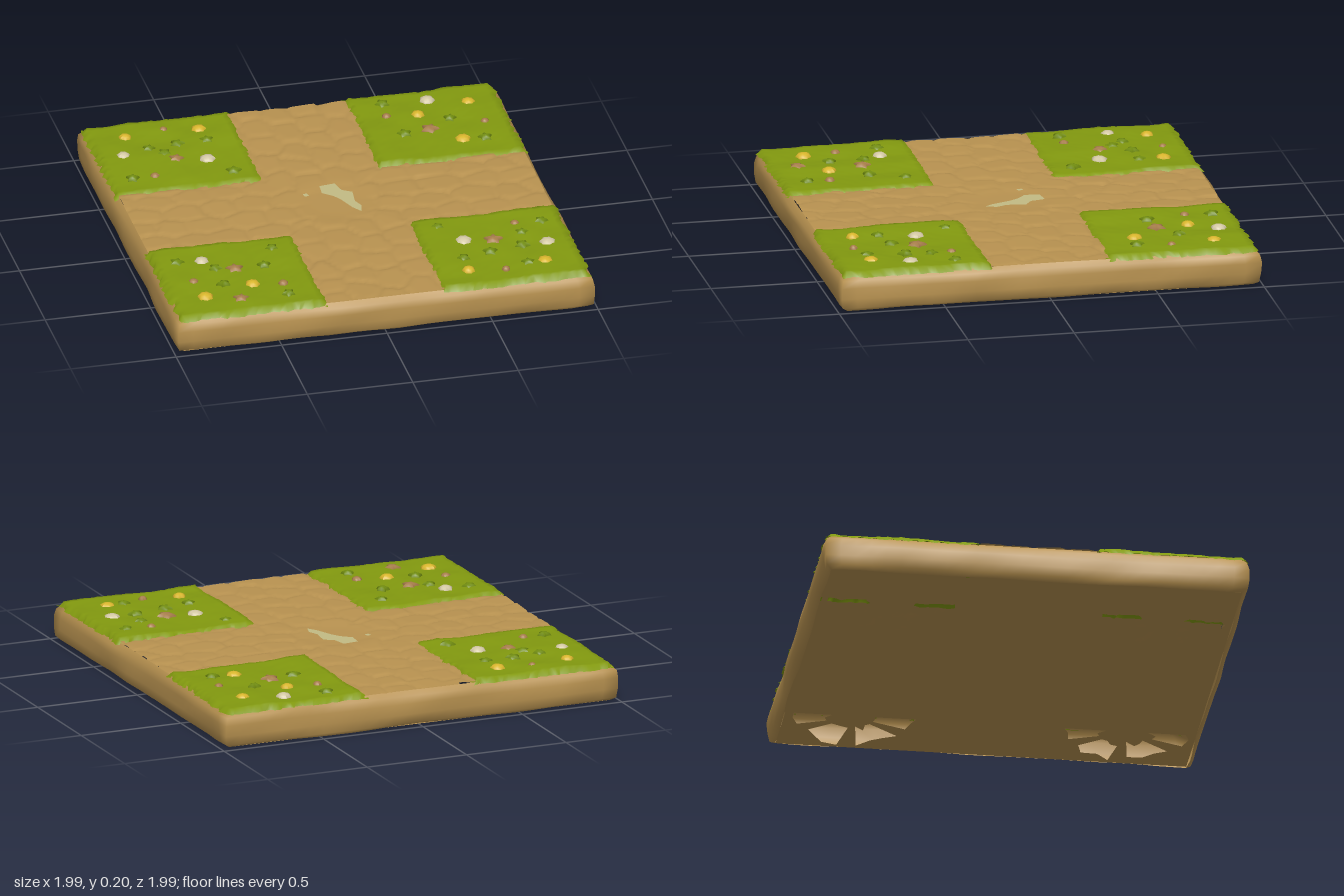
import * as THREE from 'three';

const HALF = 0.985;

// Repeatable pseudo-random value for an integer cell
function hash(i, j, k = 0) {
  const s = Math.sin(i * 127.1 + j * 311.7 + k * 74.7) * 43758.5453;
  return s - Math.floor(s);
}

// Smooth value noise, 0..1
function noise(x, z, k = 0) {
  const i = Math.floor(x), j = Math.floor(z), u = x - i, v = z - j;
  const a = hash(i, j, k) * (1 - u) + hash(i + 1, j, k) * u;
  const b = hash(i, j + 1, k) * (1 - u) + hash(i + 1, j + 1, k) * u;
  return a * (1 - v) + b * v;
}

// Height of the paving: irregular domed stones laid in staggered rows
function stoneHeight(x, z) {
  const across = Math.abs(x) > Math.abs(z);
  const p = (across ? x : z) / 0.18, q = (across ? z : x) / 0.135;
  let d1 = 9, d2 = 9, tilt = 0;
  for (let j = Math.floor(q) - 1; j <= Math.floor(q) + 1; j++) {
    for (let i = Math.floor(p) - 2; i <= Math.floor(p) + 1; i++) {
      const k = across ? 1 : 2;
      const dx = i + 0.5 + (j & 1) * 0.5 + (hash(i, j, k) - 0.5) * 0.5 - p;
      const dz = j + 0.5 + (hash(i, j, k + 5) - 0.5) * 0.4 - q;
      const d = Math.hypot(dx, dz);
      if (d < d1) {
        d2 = d1; d1 = d;
        tilt = dx * (hash(i, j, 9) - 0.5) + dz * (hash(i, j, 11) - 0.5);
      } else if (d < d2) d2 = d;
    }
  }
  const dome = Math.sqrt(Math.min(1, (d2 - d1) / 0.3));
  const calm = THREE.MathUtils.smoothstep(Math.hypot(x, z), 0.1, 0.24);
  return 0.175 + calm * (dome * 0.009 - 0.002 + tilt * 0.012);
}

// Grid in the xz plane whose vertices are moved by a rule
function sheet(w, d, n, rule) {
  const g = new THREE.PlaneGeometry(w, d, n, n).rotateX(-Math.PI / 2);
  const p = g.attributes.position;
  for (let i = 0; i < p.count; i++) p.setXYZ(i, ...rule(p.getX(i), p.getZ(i)));
  g.computeVertexNormals();
  return g;
}

// Wavy, rounded earth wall made of stacked square rings
function wallGeometry() {
  const profile = [[0.03, 0.006], [0.006, 0.025], [0, 0.07], [0, 0.12], [0.008, 0.155], [0.03, 0.176]];
  const perSide = 28, n = perSide * 4, pos = [], index = [];
  profile.forEach(([inset, y], r) => {
    for (let i = 0; i < n; i++) {
      const side = Math.floor(i / perSide), t = (i % perSide) / perSide * 2 - 1;
      const wob = (noise(i * 0.35, r * 0.7, 3) - 0.5) * (r === 5 ? 0.006 : 0.016);
      const h = HALF + 0.004 - inset + wob;
      const along = t * (HALF - inset);
      const [x, z] = [[along, h], [h, -along], [-along, -h], [-h, along]][side];
      pos.push(x, y + (r === 0 ? noise(i * 0.4, 0, 8) * 0.006 : 0), z);
    }
  });
  for (let r = 0; r < profile.length - 1; r++) {
    for (let i = 0; i < n; i++) {
      const a = r * n + i, b = r * n + (i + 1) % n;
      index.push(a, b, b + n, a, b + n, a + n);
    }
  }
  const g = new THREE.BufferGeometry();
  g.setAttribute('position', new THREE.Float32BufferAttribute(pos, 3));
  g.setIndex(index);
  g.computeVertexNormals();
  return g;
}

// Underside with ragged openings in each corner
function floorGeometry() {
  const e = HALF - 0.03;
  const shape = new THREE.Shape([[-e, -e], [e, -e], [e, e], [-e, e]].map(p => new THREE.Vector2(...p)));
  for (const sx of [-1, 1]) for (const sz of [-1, 1]) {
    for (let k = 0; k < 6; k++) {
      const a0 = k * Math.PI / 3 + 0.15, pts = [];
      for (let i = 0; i < 8; i++) {
        const outer = i < 4, t = outer ? i / 3 : (7 - i) / 3;
        const r = (outer ? 0.25 : 0.09) + hash(k * 8 + i, sx + sz * 3) * 0.06;
        const a = a0 + t * 0.75;
        pts.push(new THREE.Vector2(sx * 0.63 + r * Math.cos(a), sz * 0.63 + r * Math.sin(a)));
      }
      shape.holes.push(new THREE.Path(pts));
    }
  }
  return new THREE.ShapeGeometry(shape).rotateX(Math.PI / 2);
}

// Uneven turf with a ragged edge that drops into the ground
function turfGeometry(cx, cz) {
  const half = 0.353;
  return sheet(half * 2, half * 2, 32, (x, z) => {
    const rim = Math.max(Math.abs(x), Math.abs(z)) > half - 0.005;
    const gx = x + cx, gz = z + cz;
    const j = rim ? 0.022 : 0.008;
    const y = rim ? 0.168 : 0.182 + noise(gx * 8, gz * 8, 4) * 0.016 + hash(gx * 50, gz * 50) * 0.002;
    return [gx + (hash(gx * 40, gz * 40, 1) - 0.5) * j, y, gz + (hash(gx * 40, gz * 40, 2) - 0.5) * j];
  });
}

// Low domed star, used for blossoms and leaf tufts
function starGeometry(points, dip) {
  const g = new THREE.SphereGeometry(1, points * 2, 4, 0, Math.PI * 2, 0, Math.PI / 2);
  const p = g.attributes.position;
  for (let i = 0; i < p.count; i++) {
    const col = i % (points * 2 + 1);
    const s = col % 2 ? dip : 1;
    p.setX(i, p.getX(i) * s);
    p.setZ(i, p.getZ(i) * s);
  }
  g.computeVertexNormals();
  return g;
}

export function createModel() {
  const model = new THREE.Group();
  const mat = (name, color, side = THREE.FrontSide) =>
    Object.assign(new THREE.MeshStandardMaterial({ color, side }), { name });
  const earth = mat('earth', 0xb89250, THREE.DoubleSide);
  const grass = mat('grass', 0x82990f, THREE.DoubleSide);
  const pale = mat('pale sand', 0xc2bb84, THREE.DoubleSide);
  const leaf = mat('leaf', 0x718c10);
  const yellow = mat('yellow petal', 0xd8b52c);
  const cream = mat('cream petal', 0xd2c7a4);
  const brown = mat('brown petal', 0xa67d4b);
  const add = (name, geometry, material, parent = model) => {
    const m = new THREE.Mesh(geometry, material);
    m.name = name;
    parent.add(m);
    return m;
  };

  // Earth slab
  add('earthWall', wallGeometry(), earth);
  add('underside', floorGeometry(), earth).position.y = 0.009;
  const top = (HALF - 0.025) * 2;
  add('pavedGround', sheet(top, top, 120, (x, z) => {
    const path = Math.min(Math.abs(x), Math.abs(z)) < 0.29;
    return [x, path ? stoneHeight(x, z) : 0.172, z];
  }), earth);

  // Pale worn spots at the crossing
  const spot = (pts) => new THREE.ShapeGeometry(new THREE.Shape(pts.map(p => new THREE.Vector2(p[0], -p[1])))).rotateX(-Math.PI / 2);
  add('wornSpot', spot([[-0.04, -0.16], [0.035, -0.17], [0.05, -0.1], [0.095, -0.07], [0.085, 0.02],
    [0.105, 0.07], [0.09, 0.125], [0.06, 0.08], [0.025, -0.01], [0, -0.05], [-0.045, -0.09]]), pale).position.y = 0.184;
  add('smallWornSpot', spot([[-0.135, -0.095], [-0.115, -0.1], [-0.11, -0.075], [-0.13, -0.07]]), pale).position.y = 0.186;

  // Turf in the four corners
  for (const sx of [-1, 1]) for (const sz of [-1, 1]) {
    add('turf', turfGeometry(sx * 0.622, sz * 0.625), grass);
  }

  // Plants: [x, z] per kind
  const blossom = starGeometry(7, 0.86), tuft = starGeometry(5, 0.6);
  const plant = (name, geo, material, radius, height, spots) => {
    const group = new THREE.Group();
    group.name = name + 's';
    model.add(group);
    spots.forEach(([x, z], i) => {
      const m = add(name, geo, material, group);
      const r = radius * (0.88 + hash(i, 7) * 0.24);
      m.position.set(x, 0.187, z);
      m.scale.set(r, height, r);
      m.rotation.set((hash(i, 1) - 0.5) * 0.15, hash(i, 2) * 6, (hash(i, 3) - 0.5) * 0.15);
    });
  };
  plant('yellowFlower', blossom, yellow, 0.034, 0.021, [[-0.8, -0.825], [-0.45, -0.83], [0.82, -0.8],
    [0.565, -0.73], [0.71, -0.45], [-0.81, 0.79], [-0.57, 0.72], [0.43, 0.82], [0.795, 0.81]]);
  plant('creamFlower', blossom, cream, 0.036, 0.021, [[-0.85, -0.65], [-0.48, -0.535], [0.64, -0.86],
    [-0.745, 0.445], [0.475, 0.53], [0.85, 0.635]]);
  plant('brownFlower', tuft, brown, 0.044, 0.02, [[-0.62, -0.565], [0.585, -0.58], [-0.615, 0.555],
    [-0.655, 0.85], [0.61, 0.555]]);
  plant('brownBud', blossom, brown, 0.022, 0.018, [[-0.61, -0.86], [-0.755, -0.425], [0.42, -0.745],
    [0.85, -0.595], [-0.83, 0.635], [-0.43, 0.745], [0.745, 0.42], [0.6, 0.85]]);
  plant('leafTuft', tuft, leaf, 0.036, 0.02, [[-0.72, -0.69], [-0.58, -0.71], [-0.44, -0.715], [-0.86, -0.425],
    [-0.39, -0.39], [-0.66, -0.63], [0.43, -0.87], [0.7, -0.66], [0.46, -0.56], [0.815, -0.44],
    [-0.86, 0.435], [-0.4, 0.395], [-0.7, 0.53], [-0.475, 0.55], [-0.7, 0.69], [-0.43, 0.85],
    [0.39, 0.375], [0.87, 0.425], [0.755, 0.515], [0.57, 0.665], [0.73, 0.635], [0.435, 0.7], [0.715, 0.81]]);
  return model;
}
